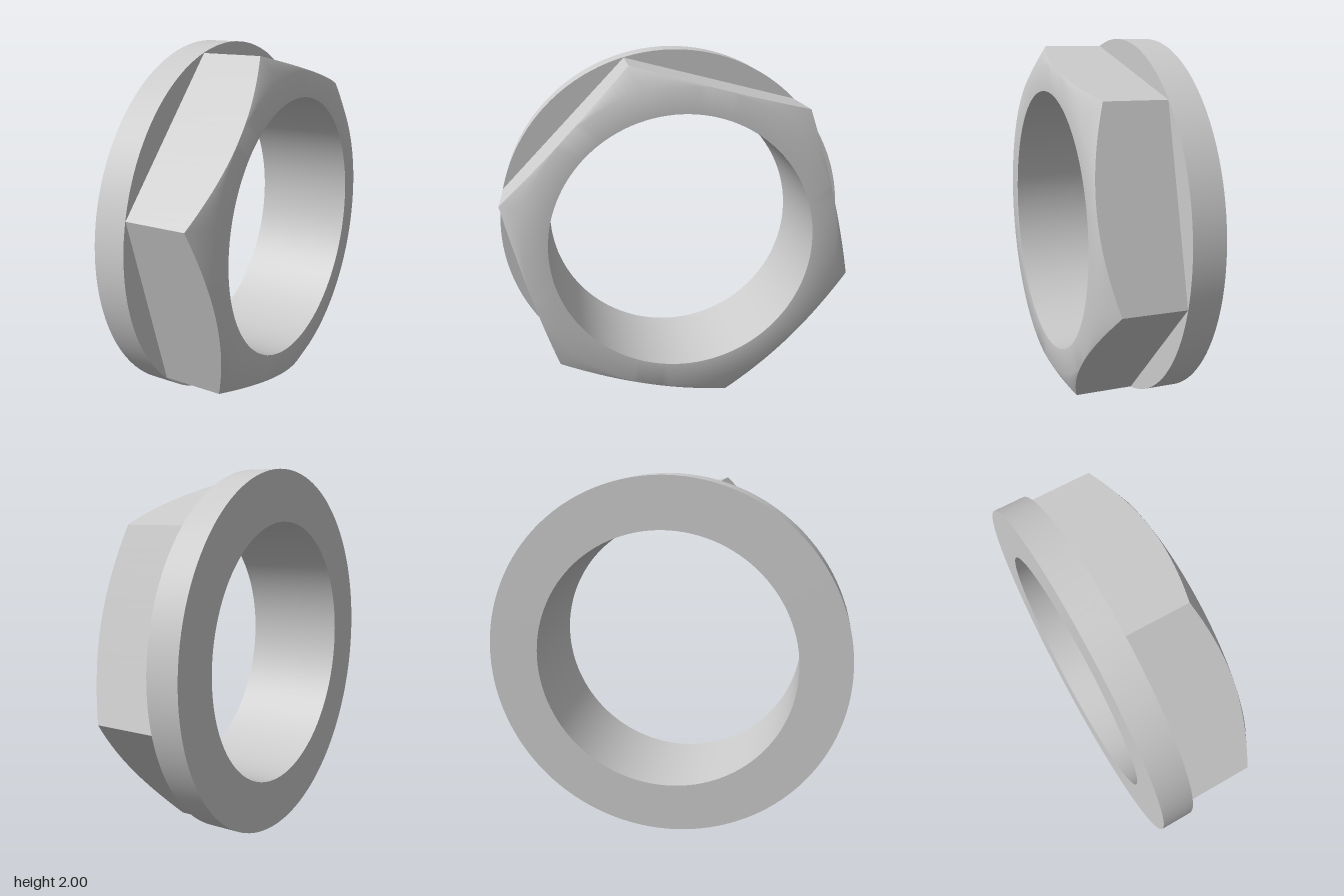
import * as THREE from 'three';
import { toCreasedNormals } from 'three/addons/utils/BufferGeometryUtils.js';

const BORE = 0.723, BACK = -0.295, STEP = -0.12, FRONT = 0.29;
const CORNER = 0.998, SEGMENTS = 120;
const CREASE = 0.7;

// Hexagonal body along x: flat sides, conical front chamfer, front ring
function hexGeometry() {
  const twist = THREE.MathUtils.degToRad(15.7);
  const apothem = CORNER * Math.cos(Math.PI / 6);
  const chamferStart = apothem - 0.003;
  const slope = (FRONT - 0.21) / (CORNER - chamferStart);

  const section = (i) => {
    const a = (i / SEGMENTS) * Math.PI * 2;
    const r = apothem / Math.cos((a % (Math.PI / 3)) - Math.PI / 6);
    const t = a + twist;
    return [
      [STEP, r],
      [FRONT - (r - chamferStart) * slope, r],
      [FRONT, chamferStart],
      [FRONT, BORE],
    ].map(([x, rad]) => [x, rad * Math.cos(t), rad * Math.sin(t)]);
  };

  const positions = [];
  for (let i = 0; i < SEGMENTS; i++) {
    const p = section(i), q = section((i + 1) % SEGMENTS);
    for (let k = 0; k < 3; k++) {
      positions.push(...p[k], ...q[k], ...p[k + 1]);
      positions.push(...q[k], ...q[k + 1], ...p[k + 1]);
    }
  }
  const g = new THREE.BufferGeometry();
  g.setAttribute('position', new THREE.Float32BufferAttribute(positions, 3));
  return toCreasedNormals(g, CREASE);
}

// Round shells turned about the x axis from [radius, x] points
function turned(points) {
  const g = new THREE.LatheGeometry(points.map(([r, x]) => new THREE.Vector2(r, x)), SEGMENTS);
  g.rotateZ(-Math.PI / 2);
  return toCreasedNormals(g, CREASE);
}

export function createModel() {
  const group = new THREE.Group();
  group.name = 'flangedHexNut';
  const material = new THREE.MeshStandardMaterial({ color: 0xcccccc });

  const add = (name, geometry) => {
    const mesh = new THREE.Mesh(geometry, material);
    mesh.name = name;
    mesh.position.y = 1;
    group.add(mesh);
  };

  add('hexBody', hexGeometry());
  add('flange', turned([[BORE, BACK], [1, BACK], [1, STEP], [0.84, STEP]]));
  add('bore', turned([[BORE, FRONT], [BORE, BACK]]));
  return group;
}
